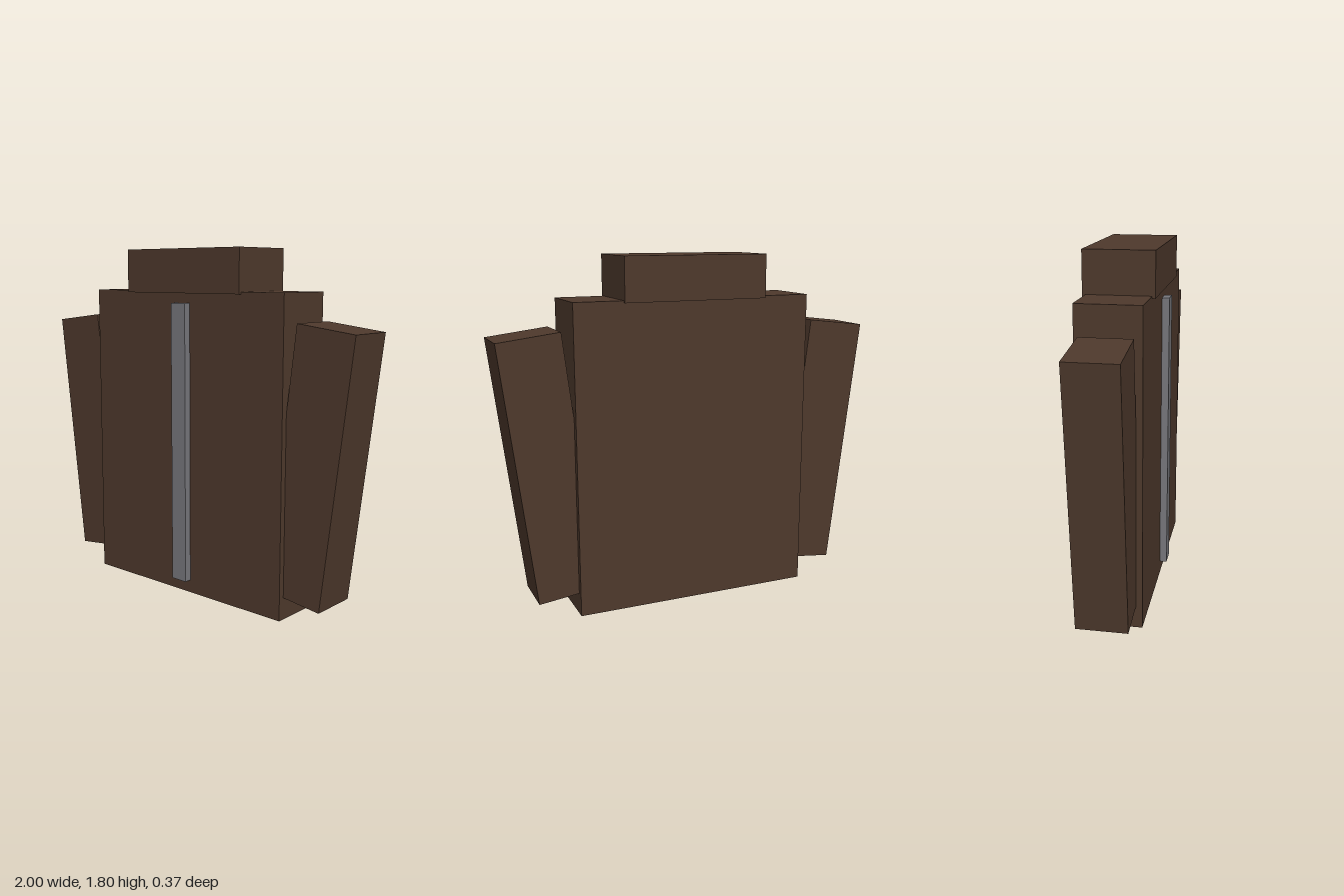
import * as THREE from 'three';

export function createModel() {
  const model = new THREE.Group();
  const cloth = new THREE.MeshStandardMaterial({ color: 0x4e392c });
  const metal = new THREE.MeshStandardMaterial({ color: 0x77777c });

  function addBox(name, size, position, material = cloth) {
    const mesh = new THREE.Mesh(new THREE.BoxGeometry(...size), material);
    mesh.name = name;
    mesh.position.set(...position);
    model.add(mesh);
    return mesh;
  }

  const z = -0.0105; // shared centre plane of the cloth parts

  addBox('torso', [1.268, 1.585, 0.317], [0, 0.7925, z]);
  addBox('collar', [0.761, 0.222, 0.349], [0, 1.685, z]);

  // Zip strip standing proud of the chest
  addBox('zip', [0.095, 1.458, 0.048], [0, 0.796, 0.161], metal);

  // Sleeves lean outward at the top
  for (const [name, side] of [['leftSleeve', 1], ['rightSleeve', -1]]) {
    const sleeve = addBox(name, [0.317, 1.331, 0.254], [side * 0.763, 0.766, z]);
    sleeve.rotation.z = -side * 0.12;
  }

  return model;
}
